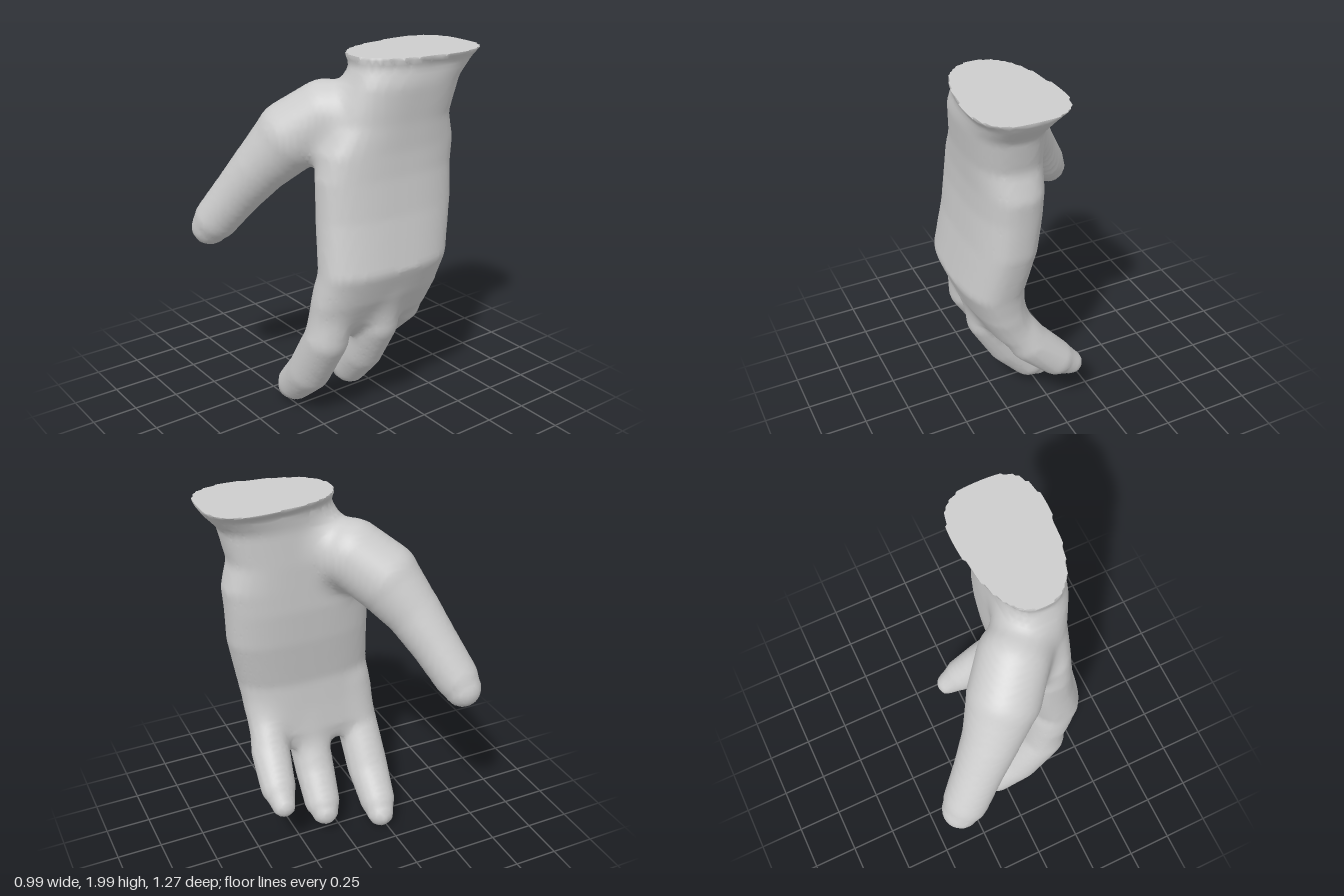
import * as THREE from 'three';
import { mergeVertices, toCreasedNormals } from 'three/addons/utils/BufferGeometryUtils.js';

// Wrist and palm sections from the cut downwards: y, centre x, centre z, half x, half z, taper
const PALM = [
  [2, 0.26, -0.28, 0.235, 0.362, 0.2],
  [1.95, 0.27, -0.27, 0.195, 0.34, 0.14],
  [1.86, 0.28, -0.215, 0.185, 0.315, 0.06],
  [1.67, 0.265, -0.165, 0.175, 0.325, 0.06],
  [1.53, 0.262, -0.14, 0.17, 0.39, 0.06],
  [1.4, 0.265, -0.12, 0.17, 0.4, 0.06],
  [1.2, 0.285, -0.11, 0.17, 0.4, 0.06],
  [0.92, 0.332, -0.07, 0.17, 0.38, 0.05],
  [0.75, 0.295, -0.055, 0.14, 0.375, 0.04],
  [0.6, 0.25, -0.05, 0.105, 0.34, 0],
  [0.5, 0.21, -0.05, 0.05, 0.28, 0],
];

// Digits as chains of tapered round links: x, y, z, radius
const THUMB = [
  [0.23, 1.75, -0.04, 0.11], [0.09, 1.68, 0.12, 0.18], [-0.02, 1.57, 0.25, 0.185],
  [-0.14, 1.4, 0.36, 0.147], [-0.25, 1.24, 0.44, 0.128], [-0.355, 1.08, 0.515, 0.118],
  [-0.395, 1.025, 0.535, 0.1],
];
const FINGERS = [
  // index
  [[0.29, 0.8, 0.2, 0.1], [0.255, 0.53, 0.235, 0.118], [0.105, 0.28, 0.24, 0.118],
    [-0.035, 0.14, 0.235, 0.102], [-0.1, 0.085, 0.225, 0.077]],
  // middle
  [[0.31, 0.78, -0.08, 0.1], [0.28, 0.55, -0.075, 0.118], [0.165, 0.33, -0.075, 0.112],
    [0.04, 0.18, -0.085, 0.102], [-0.01, 0.14, -0.09, 0.078]],
  // little
  [[0.275, 0.74, -0.32, 0.09], [0.16, 0.54, -0.345, 0.108], [0.01, 0.39, -0.365, 0.098],
    [-0.08, 0.325, -0.37, 0.067]],
];

// Soft union: joins two distances with a rounded web of size k
function blend(a, b, k) {
  const h = Math.max(k - Math.abs(a - b), 0) / k;
  return Math.min(a, b) - h * h * k / 4;
}

// Distance to the palm, measured in the horizontal section at height y
function palmDistance(x, y, z) {
  const yc = THREE.MathUtils.clamp(y, 0.5, 2);
  const k = Math.max(1, PALM.findIndex((s) => s[0] <= yc));
  const t = (PALM[k - 1][0] - yc) / (PALM[k - 1][0] - PALM[k][0]);
  const [, cx, cz, hx, hz, taper] = PALM[k].map((v, i) => THREE.MathUtils.lerp(PALM[k - 1][i], v, t));
  const w = (z - cz) / hz;
  const q = (x - cx) / (hx * (1 - taper * THREE.MathUtils.clamp(w, -1.2, 1.2)));
  const n = Math.max((Math.abs(q) ** 2.6 + Math.abs(w) ** 2.6) ** (1 / 2.6), 0.05);
  return Math.max(Math.hypot(x - cx, z - cz) * (1 - 1 / n), 0.5 - y);
}

// Distance to a chain of tapered links
function chainDistance(x, y, z, chain) {
  let best = Infinity;
  for (let i = 0; i < chain.length - 1; i++) {
    const [ax, ay, az, ar] = chain[i], [bx, by, bz, br] = chain[i + 1];
    const dx = bx - ax, dy = by - ay, dz = bz - az;
    const along = ((x - ax) * dx + (y - ay) * dy + (z - az) * dz) / (dx * dx + dy * dy + dz * dz);
    const t = THREE.MathUtils.clamp(along, 0, 1);
    const d = Math.hypot(x - ax - dx * t, y - ay - dy * t, z - az - dz * t) - ar - (br - ar) * t;
    best = Math.min(best, d);
  }
  return best;
}

function handDistance(x, y, z) {
  const palm = blend(palmDistance(x, y, z), chainDistance(x, y, z, THUMB), 0.1);
  const fingers = FINGERS.map((f) => chainDistance(x, y, z, f)).reduce((a, b) => blend(a, b, 0.03));
  const d = blend(palm, fingers, 0.06);
  return y > 2.001 ? Math.max(d, 1e-4) : d; // flat cut at the wrist
}

// One continuous skin: a vertex in every grid cell the surface crosses, joined by quads
function skin(distance, origin, size, step) {
  const [nx, ny, nz] = size;
  const stride = [ny * nz, nz, 1];
  const field = new Float32Array(nx * ny * nz);
  const at = (g) => [Math.floor(g / stride[0]), Math.floor(g / nz) % ny, g % nz];
  const point = (g) => at(g).map((v, a) => origin[a] + v * step);
  for (let g = 0; g < field.length; g++) field[g] = distance(...point(g));
  const crosses = (g, h) => (field[g] < 0) !== (field[h] < 0);

  const vertexOf = new Map(), positions = [], index = [];
  const inner = (g, low) => at(g).every((v, a) => v >= low && v < size[a] - 1);
  for (let g = 0; g < field.length; g++) {
    if (!inner(g, 0)) continue;
    const sum = [0, 0, 0];
    let count = 0;
    for (let a = 0; a < 3; a++) {
      for (let corner = 0; corner < 4; corner++) {
        const from = g + (corner & 1) * stride[(a + 1) % 3] + (corner >> 1) * stride[(a + 2) % 3];
        const to = from + stride[a];
        if (!crosses(from, to)) continue;
        const p = point(from);
        p[a] += step * field[from] / (field[from] - field[to]);
        p.forEach((v, i) => { sum[i] += v; });
        count++;
      }
    }
    if (!count) continue;
    vertexOf.set(g, positions.length / 3);
    const top = at(g)[1] === ny - 2;
    positions.push(sum[0] / count, top ? 2 : sum[1] / count, sum[2] / count);
  }
  for (let g = 0; g < field.length; g++) {
    if (!inner(g, 1)) continue;
    for (let a = 0; a < 3; a++) {
      if (!crosses(g, g + stride[a])) continue;
      const b = stride[(a + 1) % 3], c = stride[(a + 2) % 3];
      const quad = [g, g - b, g - b - c, g - c].map((cell) => vertexOf.get(cell));
      if (field[g] >= 0) quad.reverse();
      index.push(quad[0], quad[1], quad[2], quad[0], quad[2], quad[3]);
    }
  }
  const geometry = new THREE.BufferGeometry();
  geometry.setAttribute('position', new THREE.Float32BufferAttribute(positions, 3));
  geometry.setIndex(index);
  return mergeVertices(toCreasedNormals(geometry, 0.9));
}

export function createModel() {
  const model = new THREE.Group();
  model.name = 'openHand';
  const grey = new THREE.MeshStandardMaterial({ color: 0xcccccc });
  grey.name = 'grey';
  // Grid rows land exactly on y = 2 so the wrist is cut flat
  const hand = new THREE.Mesh(skin(handDistance, [-0.6, -0.05, -0.75], [49, 84, 61], 0.025), grey);
  hand.name = 'handSkin';
  model.add(hand);
  return model;
}
